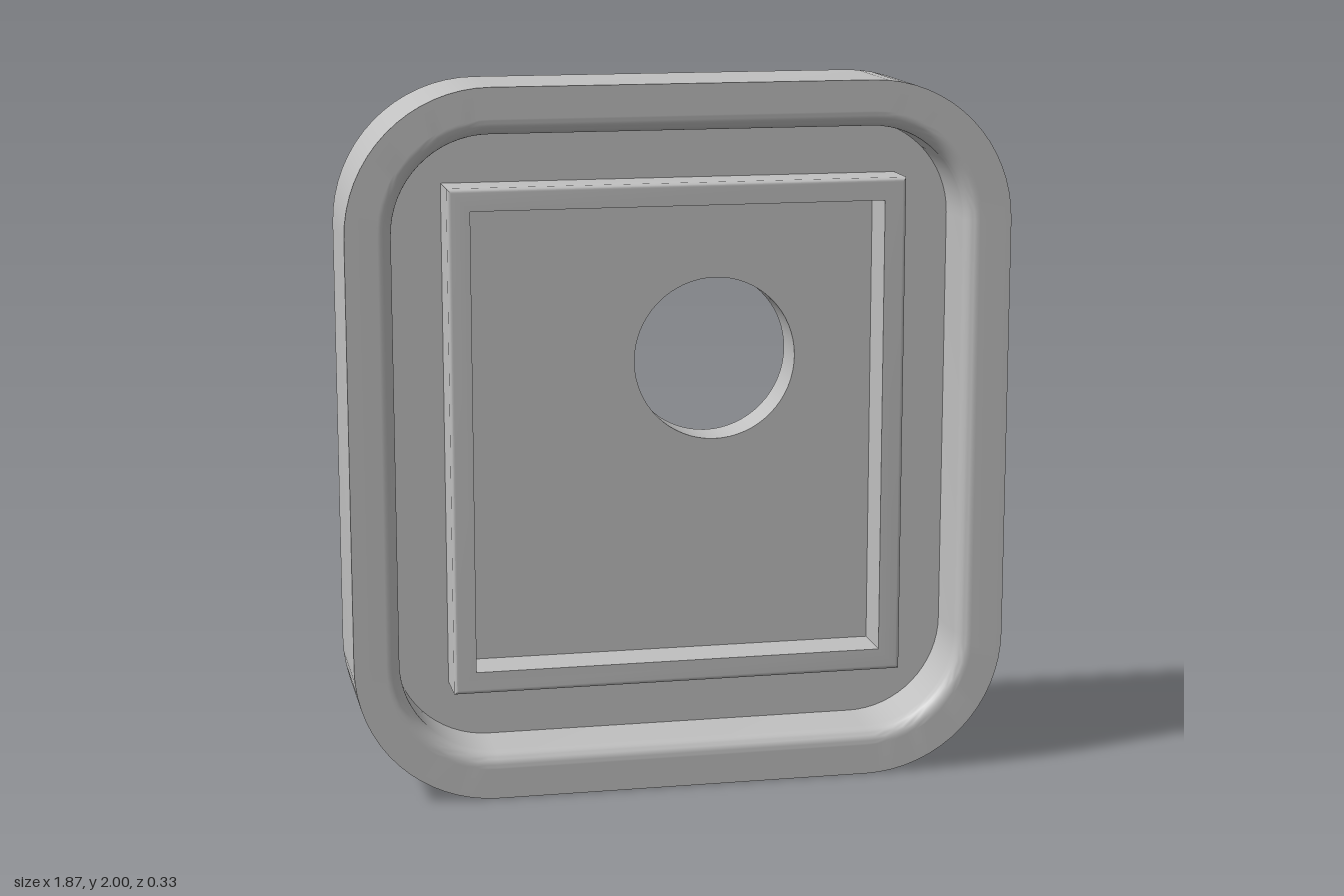
import * as THREE from 'three';
import { toCreasedNormals } from 'three/addons/utils/BufferGeometryUtils.js';

const W = 1.87, H = 2, R = 0.4;            // outer size and corner radius
const BACK = -0.163, FLOOR = -0.035, FRONT = 0.163;
const WALL = 0.13, LIP = 0.04;             // rim width and rounded lip
const HOLE = { x: 0.128, y: 1.2, r: 0.233 };

// Anticlockwise rounded rectangle centred on (0, 1)
function outline(w, h, r, segs) {
  const pts = [];
  for (let q = 0; q < 4; q++) {
    const cx = (q === 0 || q === 3 ? 1 : -1) * (w / 2 - r);
    const cy = 1 + (q < 2 ? 1 : -1) * (h / 2 - r);
    for (let s = 0; s <= segs; s++) {
      const a = (q + (segs ? s / segs : 0)) * Math.PI / 2;
      pts.push(new THREE.Vector2(cx + r * Math.cos(a), cy + r * Math.sin(a)));
    }
  }
  return pts;
}

// Sweep a profile of [inset, z] pairs around a rectangle
function sweep(profile, w, h, r, segs) {
  const pos = [], idx = [];
  const n = 4 * (segs + 1);
  profile.forEach(([d, z], i) => {
    outline(w - 2 * d, h - 2 * d, segs ? r - d : 0, segs).forEach((p, j) => {
      pos.push(p.x, p.y, z);
      if (i === profile.length - 1) return;
      const a = i * n + j, b = i * n + (j + 1) % n;
      idx.push(a, b, b + n, a, b + n, a + n);
    });
  });
  const g = new THREE.BufferGeometry();
  g.setAttribute('position', new THREE.Float32BufferAttribute(pos, 3));
  g.setIndex(idx);
  return toCreasedNormals(g, 0.5);
}

// Quarter-round profile points from a flat front into a wall (dir 1) or the reverse (dir -1)
function round(inset, z, rad, segs, dir) {
  return Array.from({ length: segs + 1 }, (_, k) => {
    const a = (dir > 0 ? k : segs - k) / segs * Math.PI / 2;
    return [inset + dir * rad * Math.sin(a), z - rad + rad * Math.cos(a)];
  });
}

// Flat face with the round opening
function face(inset, z) {
  const shape = new THREE.Shape(outline(W - 2 * inset, H - 2 * inset, R - inset, 16));
  const hole = new THREE.Path();
  hole.absarc(HOLE.x, HOLE.y, HOLE.r, 0, Math.PI * 2, true);
  shape.holes.push(hole);
  return new THREE.ShapeGeometry(shape, 32).translate(0, 0, z);
}

export function createModel() {
  const group = new THREE.Group();
  const grey = new THREE.MeshStandardMaterial({ color: 0xc0c0c0 });
  grey.name = 'grey';
  const add = (name, geometry) => {
    const mesh = new THREE.Mesh(geometry, grey);
    mesh.name = name;
    group.add(mesh);
  };

  // Outer wall, front rim, rounded lip and inner wall
  add('rim', sweep([
    [0, BACK], [0, FRONT], [WALL - LIP - 0.004, FRONT],
    ...round(WALL - LIP, FRONT, LIP, 8, 1),
    [WALL, FRONT - LIP - 0.004], [WALL, FLOOR],
  ], W, H, R, 16));

  // Recessed floor and back face
  add('floor', face(WALL, FLOOR));
  add('back', face(0, BACK).rotateY(Math.PI).scale(1, 1, 1).translate(0, 0, 0));
  const back = group.children[group.children.length - 1];
  back.geometry = backFace();

  // Wall of the round opening, facing inward
  const bore = [new THREE.Vector2(HOLE.r, FLOOR), new THREE.Vector2(HOLE.r, BACK)];
  add('holeWall', new THREE.LatheGeometry(bore, 64)
    .rotateX(Math.PI / 2).translate(HOLE.x, HOLE.y, 0));

  // Raised square frame with softened outer edges
  const top = 0.1, soft = 0.012, bar = 0.063;
  add('raisedFrame', sweep([
    [0, FLOOR], [0, top - soft - 0.002],
    ...round(soft, top, soft, 4, -1),
    [soft + 0.002, top], [bar, top], [bar, FLOOR],
  ], 1.296, 1.43, 0, 0).translate(0, 0.005, 0));

  return group;
}

// Back face turned to look along -z
function backFace() {
  const g = face(0, BACK);
  const index = g.index.array;
  for (let i = 0; i < index.length; i += 3) {
    [index[i], index[i + 1]] = [index[i + 1], index[i]];
  }
  g.computeVertexNormals();
  return g;
}
